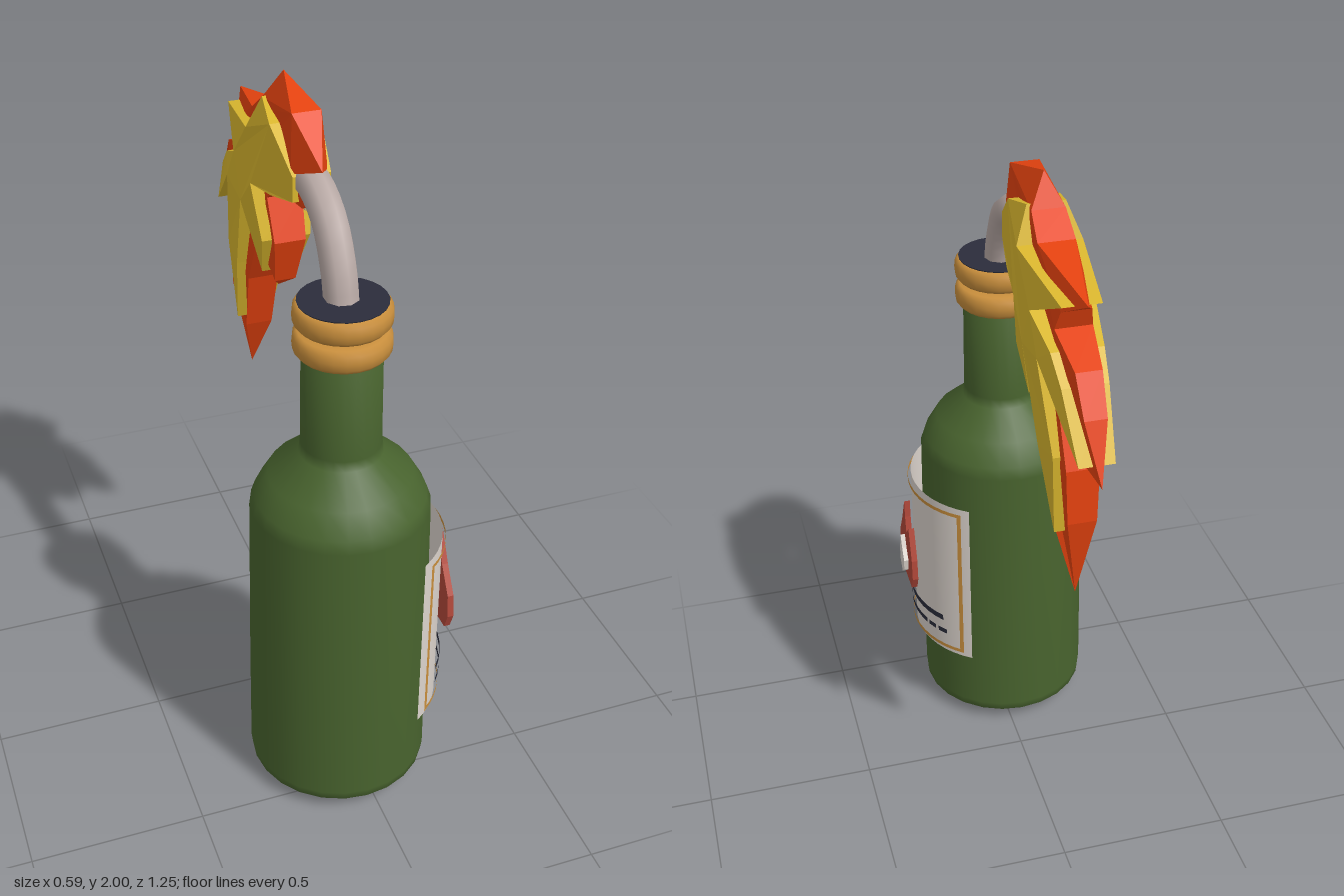
import * as THREE from 'three';

const mat = (name, color, side = THREE.FrontSide, flatShading = false) => {
  const m = new THREE.MeshStandardMaterial({ color, side, flatShading });
  m.name = name;
  return m;
};

export function createModel() {
  const group = new THREE.Group();
  const glass = mat('greenGlass', 0x48632e);
  const gold = mat('gold', 0xc88e3c, THREE.DoubleSide);
  const dark = mat('darkNavy', 0x2b2d3b, THREE.DoubleSide);
  const paper = mat('paper', 0xdcd4cd, THREE.DoubleSide);
  const cloth = mat('cloth', 0xb9aaa6, THREE.DoubleSide);
  const red = mat('emblemRed', 0xb2483a);
  const orange = mat('flameOrange', 0xe5420f, THREE.DoubleSide, true);
  const yellow = mat('flameYellow', 0xdab72e, THREE.DoubleSide, true);
  const CX = -0.035, CZ = 0.365;

  const add = (name, geometry, material, x = 0, y = 0, z = 0) => {
    const mesh = new THREE.Mesh(geometry, material);
    mesh.name = name;
    mesh.position.set(x, y, z);
    group.add(mesh);
    return mesh;
  };
  const lathe = (name, profile, material, y = 0) =>
    add(name, new THREE.LatheGeometry(profile.map(p => new THREE.Vector2(...p)), 24), material, CX, y, CZ);

  // Bottle: domed base, straight body, sloped shoulder and closed neck
  lathe('bottle', [[0, 0], [0.15, 0.012], [0.24, 0.03], [0.256, 0.045], [0.259, 0.07], [0.256, 0.4],
    [0.248, 0.94], [0.236, 0.975], [0.198, 1.04], [0.115, 1.11], [0.11, 1.14], [0.107, 1.46], [0, 1.46]], glass);

  // Two rounded collars and the stopper
  const collar = [[0.09, -0.033], [0.118, -0.033], [0.129, -0.02], [0.131, 0], [0.129, 0.02],
    [0.118, 0.033], [0.09, 0.033]];
  lathe('lowerCollar', collar, gold, 1.448);
  lathe('upperCollar', collar, gold, 1.528);
  add('stopper', new THREE.CylinderGeometry(0.119, 0.1, 0.06, 24), dark, CX, 1.534, CZ);

  // Curved label pieces, given by their z and y ranges
  const R = 0.274;
  const panel = (name, material, x, z0, z1, y0, y1) => {
    const a = Math.acos((z1 - CZ) / R), b = Math.acos((z0 - CZ) / R);
    const n = Math.max(1, Math.ceil((b - a) * 8));
    add(name, new THREE.CylinderGeometry(R, R, y1 - y0, n, 1, true, a, b - a), material, x, (y0 + y1) / 2, CZ);
  };
  panel('label', paper, -0.024, 0.135, 0.595, 0.27, 0.84);
  panel('labelBorderTop', gold, -0.014, 0.145, 0.585, 0.812, 0.824);
  panel('labelBorderBottom', gold, -0.014, 0.145, 0.585, 0.288, 0.3);
  panel('labelBorderBack', gold, -0.014, 0.145, 0.153, 0.288, 0.824);
  panel('labelBorderFront', gold, -0.014, 0.577, 0.585, 0.288, 0.824);
  panel('labelStripe', dark, -0.012, 0.195, 0.54, 0.396, 0.416);
  for (const [z0, z1] of [[0.26, 0.54], [0.222, 0.25], [0.185, 0.212]])
    panel('labelDash', dark, -0.012, z0, z1, 0.346, 0.362);

  // Outline in [z, y], extruded along x
  const extrudeX = (pts, depth) => {
    const shape = new THREE.Shape(pts.map(([z, y]) => new THREE.Vector2(-z, y)));
    return new THREE.ExtrudeGeometry(shape, { depth, bevelEnabled: false });
  };
  add('emblemFlame', extrudeX([[0.363, 0.757], [0.36, 0.7], [0.35, 0.645], [0.312, 0.686], [0.28, 0.58],
    [0.278, 0.51], [0.3, 0.464], [0.448, 0.464], [0.468, 0.515], [0.46, 0.585], [0.41, 0.665]], 0.018)
    .rotateY(Math.PI / 2), red, 0.262);
  add('emblemCore', extrudeX([[0.38, 0.62], [0.362, 0.58], [0.338, 0.545], [0.345, 0.505], [0.375, 0.48],
    [0.4, 0.51], [0.402, 0.55]], 0.015).rotateY(Math.PI / 2), paper, 0.279);

  // Rag arching out of the neck, slightly creased around its section
  const path = new THREE.CatmullRomCurve3([[1.54, 0.36], [1.63, 0.335], [1.73, 0.27], [1.78, 0.17],
    [1.775, 0.07], [1.72, -0.02]].map(([y, z]) => new THREE.Vector3(CX, y, z)));
  add('rag', new THREE.TubeGeometry(path, 14, 0.047, 9), cloth);
  for (const [y, z, tilt] of [[1.71, 0.06, -0.5], [1.705, 0.02, -0.2], [1.7, -0.02, 0.3]]) {
    const fray = add('ragFray', new THREE.ConeGeometry(0.035, 0.08, 5), cloth, CX, y, z);
    fray.rotation.x = Math.PI + tilt;
  }

  // Flame layers: [z, y, half thickness]; tips pinch to the thickness given there
  const flame = (name, pts, material) => {
    const g = extrudeX(pts, 2).translate(0, 0, -1);
    const p = g.attributes.position;
    for (let i = 0; i < p.count; i++) {
      const [, , h] = pts.find(([z, y]) => Math.hypot(p.getX(i) + z, p.getY(i) - y) < 1e-4);
      p.setZ(i, p.getZ(i) * h);
    }
    g.rotateY(Math.PI / 2).computeVertexNormals();
    add(name, g, material, CX);
  };
  flame('outerFlame', [[0.21, 1.84, 0], [0.09, 1.955, 0.04], [-0.09, 2, 0], [-0.135, 1.915, 0.045],
    [-0.21, 1.86, 0.05], [-0.48, 1.81, 0], [-0.385, 1.755, 0.04], [-0.365, 1.7, 0.05], [-0.495, 1.645, 0.035],
    [-0.56, 1.545, 0.03], [-0.625, 1.385, 0], [-0.505, 1.42, 0.03], [-0.39, 1.54, 0.05], [-0.47, 1.345, 0.045],
    [-0.475, 1.185, 0.04], [-0.427, 0.925, 0], [-0.347, 1.105, 0.04], [-0.295, 1.29, 0.045],
    [-0.185, 1.475, 0.05], [-0.15, 1.34, 0], [-0.09, 1.385, 0.03], [-0.045, 1.525, 0.045],
    [-0.09, 1.645, 0.05], [0, 1.71, 0.05], [0.14, 1.715, 0.03], [0.19, 1.755, 0.01], [0.11, 1.8, 0.05]], orange);
  flame('innerFlame', [[0.13, 1.8, 0.052], [0, 1.895, 0.07], [-0.115, 1.925, 0.052], [-0.15, 1.83, 0.088],
    [-0.43, 1.79, 0.052], [-0.27, 1.71, 0.088], [-0.4, 1.655, 0.07], [-0.47, 1.59, 0.062], [-0.58, 1.425, 0.048],
    [-0.45, 1.525, 0.066], [-0.34, 1.61, 0.088], [-0.42, 1.36, 0.066], [-0.395, 1.11, 0.052],
    [-0.31, 1.34, 0.075], [-0.21, 1.59, 0.09], [-0.14, 1.395, 0.052], [-0.08, 1.52, 0.07],
    [-0.12, 1.68, 0.088], [0.01, 1.7, 0.072], [0.13, 1.73, 0.052]], yellow);

  return group;
}
